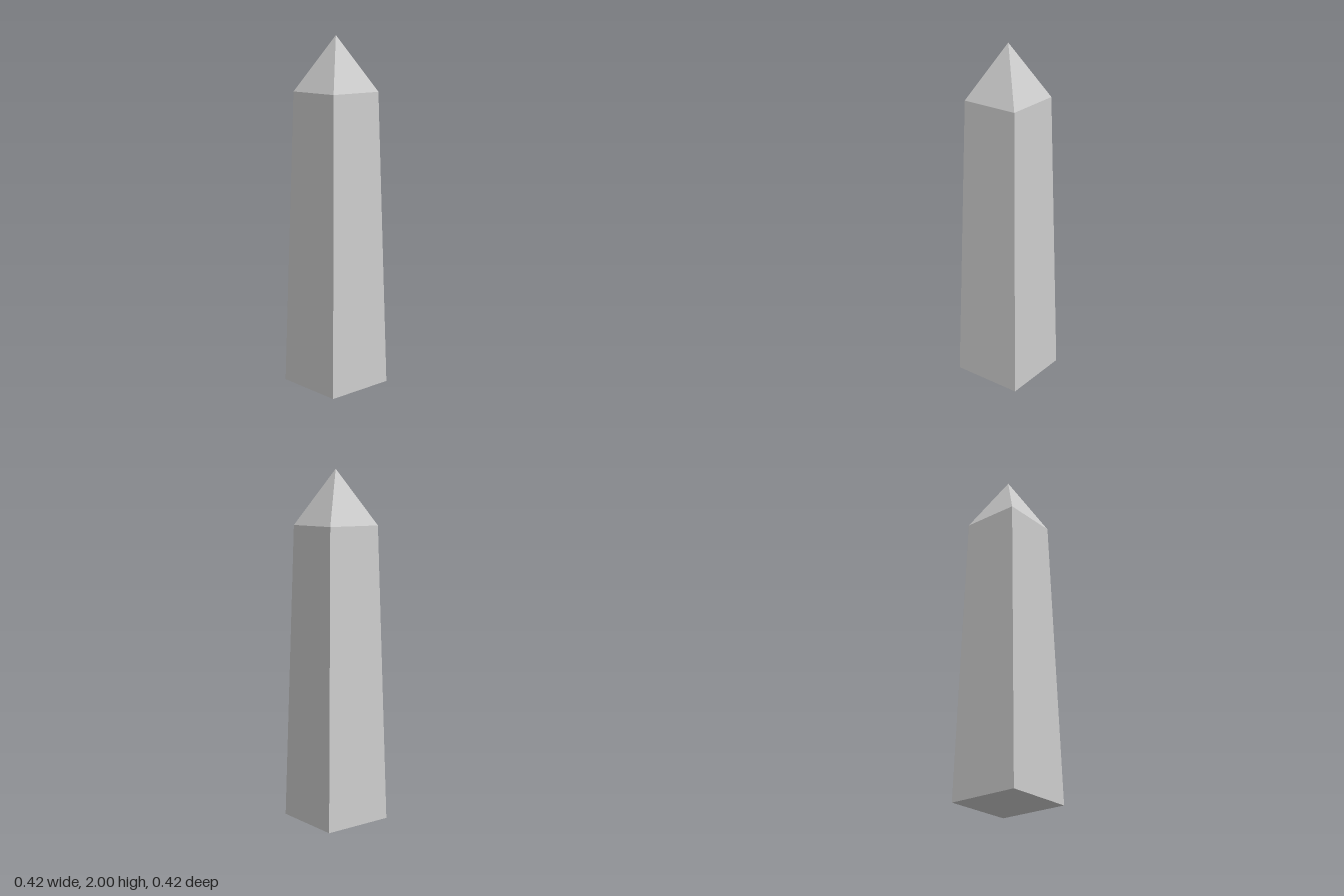
import * as THREE from 'three';

const BASE = 0.21, SHOULDER = 0.167; // half widths
const SHAFT_H = 1.69, TOTAL_H = 2;

export function createModel() {
  const group = new THREE.Group();
  group.name = 'obelisk';
  const stone = new THREE.MeshStandardMaterial({ color: 0xcccccc, flatShading: true });

  // Square ring swept from a half profile, corners on the diagonals
  const addSquare = (name, profile) => {
    const points = profile.map(([half, y]) => new THREE.Vector2(half * Math.SQRT2, y));
    const mesh = new THREE.Mesh(new THREE.LatheGeometry(points, 4, Math.PI / 4), stone);
    mesh.name = name;
    group.add(mesh);
  };

  // Tapered shaft with a closed underside
  addSquare('shaft', [[0, 0], [BASE, 0], [SHOULDER, SHAFT_H]]);
  // Pyramid tip
  addSquare('pyramidTip', [[SHOULDER, SHAFT_H], [0, TOTAL_H]]);

  return group;
}
